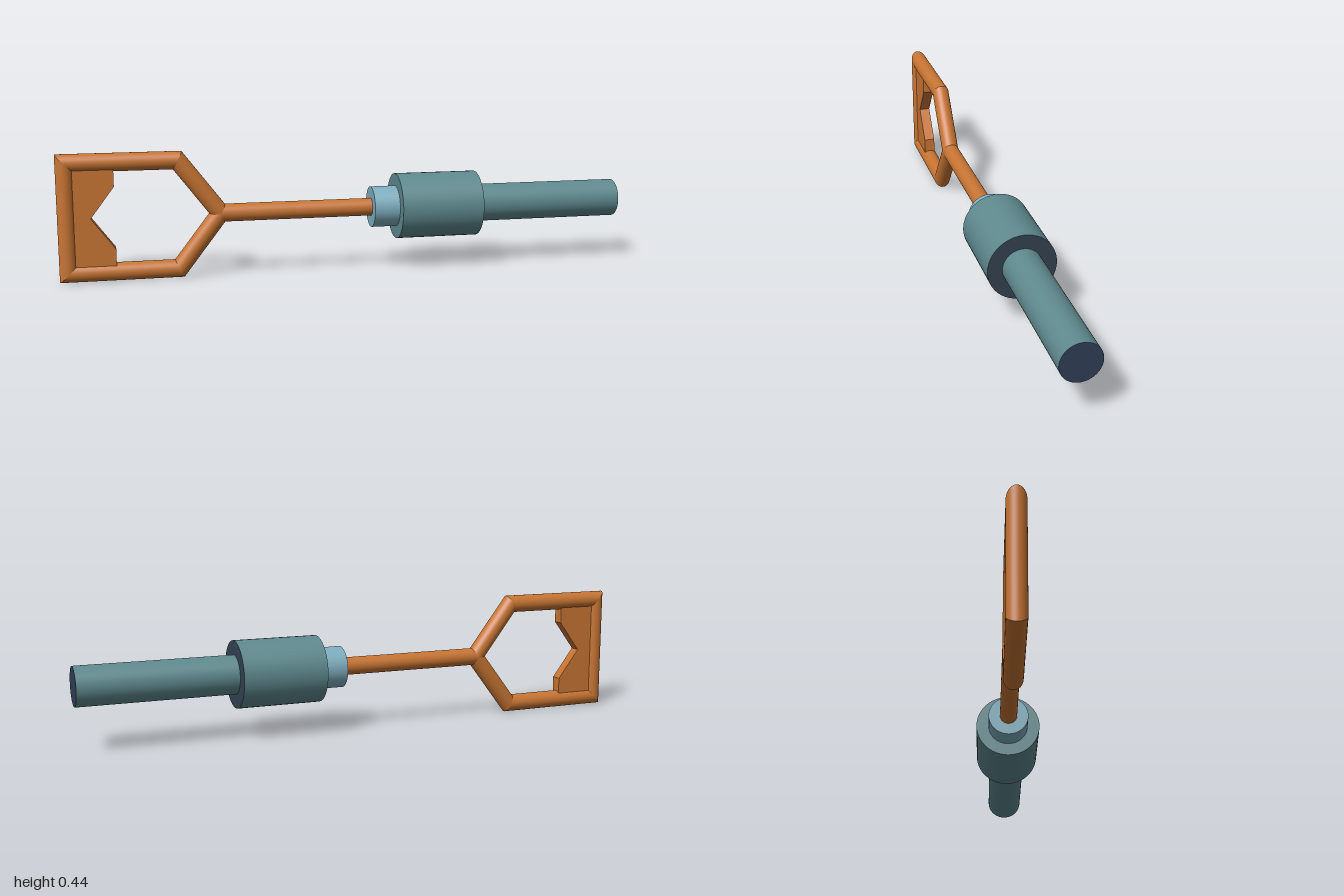
import * as THREE from 'three';

const AXIS_Y = 0.219; // height of the tool's long axis
const WIRE = 0.031;   // radius of the bent wire

const material = (color) => new THREE.MeshStandardMaterial({ color });
const copper = material(0xc87533);
const teal = material(0x5f8a8f);
const paleBlue = material(0x7fafc0);
const darkGrey = material(0x33424f);
const navy = material(0x2f3f57);

function addMesh(parent, name, geometry, mat) {
  const mesh = new THREE.Mesh(geometry, mat);
  mesh.name = name;
  parent.add(mesh);
  return mesh;
}

// Cylinder along x from x0 to x1; endMat colours the +x end
function rodAlongX(parent, name, x0, x1, radius, mat, endMat = mat) {
  const geometry = new THREE.CylinderGeometry(radius, radius, x1 - x0, 48);
  geometry.rotateZ(-Math.PI / 2);
  const mesh = addMesh(parent, name, geometry, [mat, endMat, mat]);
  mesh.position.set((x0 + x1) / 2, AXIS_Y, 0);
}

// Straight round bar from a to b, its ends slid along the bar onto the mitre planes
function mitredBar(a, b, before, after) {
  const dir = b.clone().sub(a).normalize();
  const geometry = new THREE.CylinderGeometry(WIRE, WIRE, a.distanceTo(b), 32, 1, true);
  geometry.applyQuaternion(new THREE.Quaternion().setFromUnitVectors(new THREE.Vector3(0, 1, 0), dir));
  const middle = a.clone().add(b).multiplyScalar(0.5);
  geometry.translate(middle.x, middle.y, middle.z);
  const startPlane = a.clone().sub(before).normalize().add(dir);
  const endPlane = after.clone().sub(b).normalize().add(dir);
  const pos = geometry.attributes.position;
  const v = new THREE.Vector3();
  for (let i = 0; i < pos.count; i++) {
    v.fromBufferAttribute(pos, i);
    const atEnd = v.clone().sub(middle).dot(dir) > 0;
    const plane = atEnd ? endPlane : startPlane;
    const slide = -v.clone().sub(atEnd ? b : a).dot(plane) / dir.dot(plane);
    v.addScaledVector(dir, slide);
    pos.setXYZ(i, v.x, v.y, v.z);
  }
  return geometry;
}

export function createModel() {
  const model = new THREE.Group();
  model.name = 'handTool';

  // Five-sided wire frame
  const frame = new THREE.Group();
  frame.name = 'wireFrame';
  model.add(frame);
  const corners = [
    [-0.969, 0.031], [-0.597, 0.031], [-0.453, AXIS_Y], [-0.597, 0.407], [-0.969, 0.407],
  ].map(([x, y]) => new THREE.Vector3(x, y, 0));
  const n = corners.length;
  corners.forEach((a, i) => {
    const bar = mitredBar(a, corners[(i + 1) % n], corners[(i + n - 1) % n], corners[(i + 2) % n]);
    addMesh(frame, 'frameBar', bar, copper);
  });

  // Notched plate inside the frame
  const outline = new THREE.Shape([
    [-0.965, 0.035], [-0.81, 0.035], [-0.81, 0.112], [-0.89, AXIS_Y],
    [-0.81, 0.326], [-0.81, 0.403], [-0.965, 0.403],
  ].map(([x, y]) => new THREE.Vector2(x, y)));
  const plate = new THREE.ExtrudeGeometry(outline, { depth: 0.04, bevelEnabled: false });
  plate.translate(0, 0, -0.02);
  addMesh(model, 'notchedPlate', plate, copper);

  // Shaft, ferrule, collar and handle along the axis
  rodAlongX(model, 'shaft', -0.453, 0.09, WIRE, copper);
  rodAlongX(model, 'ferrule', 0.08, 0.17, 0.072, paleBlue);
  rodAlongX(model, 'collar', 0.17, 0.465, 0.116, teal, darkGrey);
  rodAlongX(model, 'handle', 0.46, 1, 0.067, teal, navy);

  return model;
}
